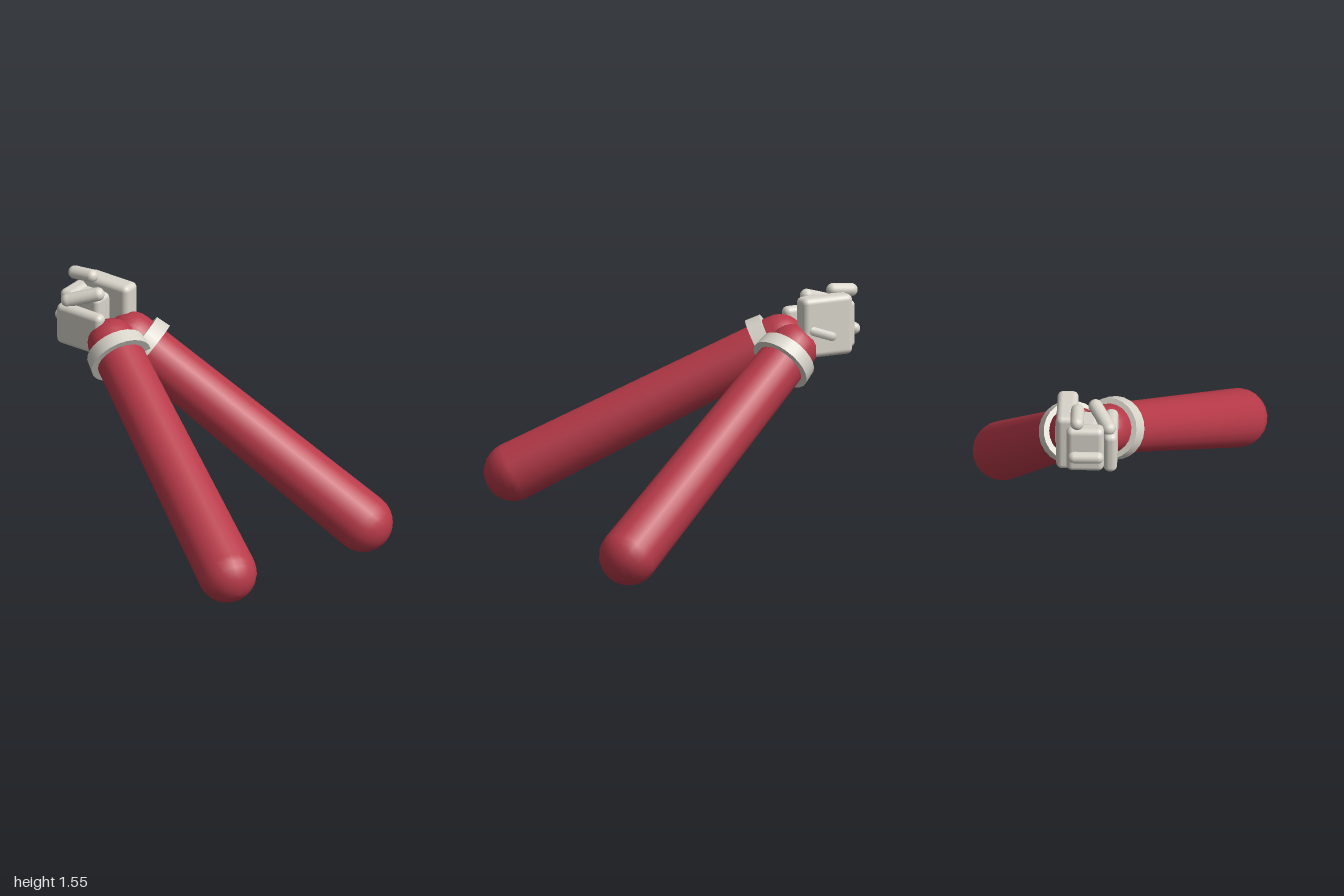
import * as THREE from 'three';
import { RoundedBoxGeometry } from 'three/addons/geometries/RoundedBoxGeometry.js';

const UP = new THREE.Vector3(0, 1, 0);

export function createModel() {
  const model = new THREE.Group();
  model.name = 'claspedArms';

  const sleeveRed = new THREE.MeshStandardMaterial({ color: 0xb83a49 });
  sleeveRed.name = 'sleeveRed';
  const gloveWhite = new THREE.MeshStandardMaterial({ color: 0xd8d4ca });
  gloveWhite.name = 'gloveWhite';

  function add(parent, name, geometry, material) {
    const mesh = new THREE.Mesh(geometry, material);
    mesh.name = name;
    parent.add(mesh);
    return mesh;
  }

  // Tapered limb with a round cap at each end, running up the y axis
  function limbGeometry(r0, r1, length) {
    const points = [];
    const steps = 7;
    for (let i = 0; i <= steps; i++) {
      const a = (i / steps) * Math.PI / 2;
      points.push(new THREE.Vector2(r0 * Math.sin(a), -r0 * Math.cos(a)));
    }
    for (let i = 0; i <= steps; i++) {
      const a = (i / steps) * Math.PI / 2;
      points.push(new THREE.Vector2(r1 * Math.cos(a), length + r1 * Math.sin(a)));
    }
    return new THREE.LatheGeometry(points, 22);
  }

  // Sleeve from shoulder to wrist, with a flared cuff near the wrist
  function addArm(name, shoulder, wrist) {
    const start = new THREE.Vector3(...shoulder);
    const dir = new THREE.Vector3(...wrist).sub(start);
    const length = dir.length();
    const arm = new THREE.Group();
    arm.name = name;
    arm.position.copy(start);
    arm.quaternion.setFromUnitVectors(UP, dir.normalize());
    add(arm, 'sleeve', limbGeometry(0.176, 0.146, length), sleeveRed);
    const cuff = add(arm, 'cuff', new THREE.CylinderGeometry(0.18, 0.188, 0.09, 24), gloveWhite);
    cuff.position.y = length - 0.09;
    model.add(arm);
  }

  addArm('rightArm', [-0.694, 0.42, 0.824], [0.04, 1.22, -0.56]);
  addArm('leftArm', [0.689, 0.181, 0.795], [0.22, 1.195, -0.55]);

  const hands = new THREE.Group();
  hands.name = 'hands';
  model.add(hands);

  // Rounded block given by its lowest and highest corners
  function addBlock(name, lo, hi, radius) {
    const size = hi.map((v, i) => v - lo[i]);
    const mesh = add(hands, name, new RoundedBoxGeometry(...size, 4, radius), gloveWhite);
    mesh.position.set(...hi.map((v, i) => (v + lo[i]) / 2));
  }

  addBlock('leftPalm', [0.198, 1.145, -0.905], [0.322, 1.505, -0.575], 0.035);
  addBlock('rightPalm', [0.08, 1.15, -0.92], [0.26, 1.44, -0.7], 0.03);
  addBlock('foldedFingers', [0.04, 1.165, -0.955], [0.26, 1.455, -0.855], 0.035);
  addBlock('rightHandSide', [-0.037, 1.14, -0.925], [0.043, 1.4, -0.6], 0.036);

  // Round-ended finger between two centres
  function addFinger(name, from, to, radius) {
    const a = new THREE.Vector3(...from);
    const b = new THREE.Vector3(...to);
    const dir = b.clone().sub(a);
    const mesh = add(hands, name, new THREE.CapsuleGeometry(radius, dir.length(), 6, 14), gloveWhite);
    mesh.position.copy(a).add(b).multiplyScalar(0.5);
    mesh.quaternion.setFromUnitVectors(UP, dir.normalize());
  }

  addFinger('rightThumb', [0.012, 1.42, -0.865], [0.095, 1.473, -0.71], 0.042);
  addFinger('leftThumb', [0.197, 1.517, -0.83], [0.197, 1.505, -0.95], 0.04);
  addFinger('backFinger', [0.075, 1.275, -0.962], [0.215, 1.275, -0.962], 0.036);
  addFinger('sideFinger', [0.297, 1.31, -0.635], [0.297, 1.265, -0.76], 0.037);

  return model;
}
